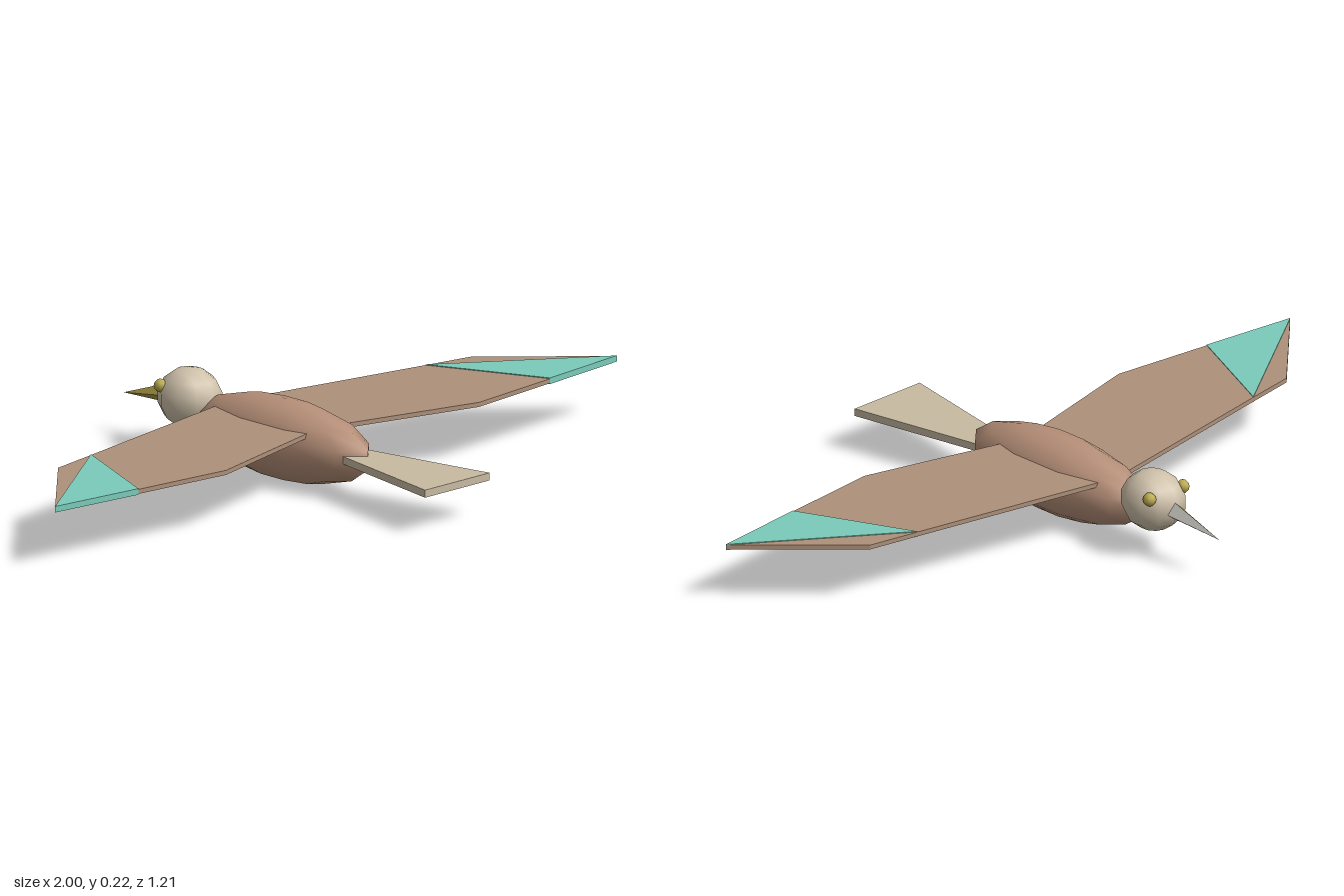
import * as THREE from 'three';

const mat = (name, color, extra = {}) => {
  const m = new THREE.MeshStandardMaterial({ color, ...extra });
  m.name = name;
  return m;
};

export function createModel() {
  const brown = mat('bodyBrown', 0xb68f78);
  const wingBrown = mat('wingBrown', 0xad907a);
  const cream = mat('headCream', 0xcfc1aa);
  const sand = mat('tailSand', 0xc8baa2);
  const teal = mat('wingTeal', 0x7bcbba);
  const yellow = mat('eyeYellow', 0xb9a94c);
  const olive = mat('beakOlive', 0xa39442);
  const grey = mat('beakGrey', 0xc6c3bc);

  const bird = new THREE.Group();
  bird.name = 'bird';
  const add = (name, geometry, material) => {
    const mesh = new THREE.Mesh(geometry, material);
    mesh.name = name;
    bird.add(mesh);
    return mesh;
  };

  // Low-poly ellipsoid with a ring vertex on the z axis
  const ellipsoid = (name, material, [rx, ry, rz], [x, y, z], w = 10, h = 7) =>
    add(name, new THREE.SphereGeometry(1, w, h).rotateY(Math.PI / 2)
      .scale(rx, ry, rz).translate(x, y, z), material);

  // Flat plate from (x, z) corners, between two heights
  const plate = (name, material, corners, bottom, top) => {
    const shape = new THREE.Shape(corners.map(([x, z]) => new THREE.Vector2(x, z)));
    const g = new THREE.ExtrudeGeometry(shape, { depth: top - bottom, bevelEnabled: false });
    return add(name, g.rotateX(Math.PI / 2).translate(0, top, 0), material);
  };

  ellipsoid('body', brown, [0.105, 0.105, 0.31], [0, 0.105, -0.016]);
  ellipsoid('head', cream, [0.08, 0.08, 0.09], [0, 0.143, -0.359]);

  // Tail fan
  plate('tail', sand, [[-0.045, 0.24], [0.045, 0.24], [0.115, 0.61], [-0.115, 0.61]], 0.097, 0.117);

  // Four-sided beak, drooping to its tip
  const tip = [0, 0.107, -0.6];
  const ring = [[0.006, 0.167], [0.026, 0.132], [0, 0.113], [-0.026, 0.138]]
    .map(([x, y]) => [x, y, -0.43]);
  const points = [];
  ring.forEach((p, i) => points.push(...p, ...tip, ...ring[(i + 1) % 4]));
  const beak = new THREE.BufferGeometry();
  beak.setAttribute('position', new THREE.Float32BufferAttribute(points, 3));
  beak.computeVertexNormals();
  beak.addGroup(0, 6, 0);
  beak.addGroup(6, 6, 1);
  grey.side = olive.side = THREE.DoubleSide;
  add('beak', beak, [grey, olive]);

  // Wings and eyes, mirrored
  for (const [side, s] of [['left', 1], ['right', -1]]) {
    const m = (corners) => corners.map(([x, z]) => [s * x, z]);
    const front = [0.595, -0.112], rear = [0.733, 0.2], end = [1, 0.17];
    plate(side + 'Wing', wingBrown,
      m([[0.05, -0.215], front, rear, [0.45, 0.23], [0.05, 0.127]]), 0.147, 0.159);
    plate(side + 'WingLeadingEdge', wingBrown, m([front, [0.738, -0.086], end]), 0.147, 0.159);
    plate(side + 'WingTip', teal, m([front, end, rear]), 0.145, 0.161);
    ellipsoid(side + 'Eye', yellow, [0.017, 0.018, 0.018], [s * 0.059, 0.176, -0.406], 8, 6);
  }
  return bird;
}
